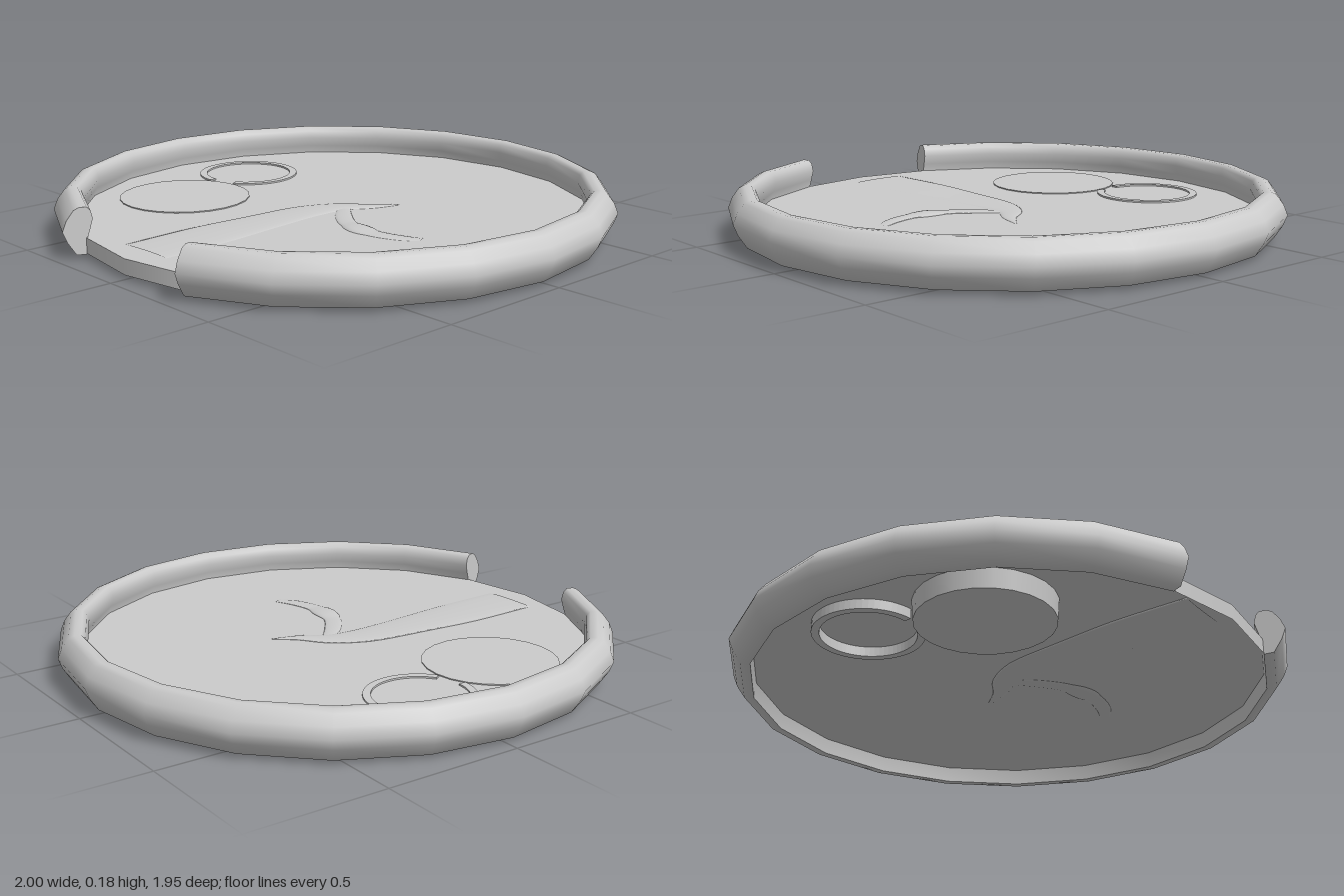
import * as THREE from 'three';

const FLOOR = 0.07;
const material = new THREE.MeshStandardMaterial({ color: 0xcccccc, side: THREE.DoubleSide });

function addMesh(parent, name, geometry) {
  const mesh = new THREE.Mesh(geometry, material);
  mesh.name = name;
  parent.add(mesh);
  return mesh;
}

// Flattened, tapering relief strip along stations of [x, z, halfWidth, height]
function reliefGeometry(stations, steps = 32, sides = 16) {
  const path = new THREE.CatmullRomCurve3(stations.map(([x, z]) => new THREE.Vector3(x, 0, z)));
  const size = new THREE.CatmullRomCurve3(stations.map(([, , w, h]) => new THREE.Vector3(w, h, 0)));
  const positions = [], index = [];
  for (let i = 0; i <= steps; i++) {
    const p = path.getPoint(i / steps), t = path.getTangent(i / steps), s = size.getPoint(i / steps);
    for (let j = 0; j <= sides; j++) {
      const a = (j / sides) * Math.PI * 2;
      const w = Math.cos(a) * s.x;
      positions.push(p.x - t.z * w, FLOOR + Math.sin(a) * s.y, p.z + t.x * w);
      if (i < steps && j < sides) {
        const k = i * (sides + 1) + j, n = k + sides + 1;
        index.push(k, k + 1, n, k + 1, n + 1, n);
      }
    }
  }
  const geometry = new THREE.BufferGeometry();
  geometry.setAttribute('position', new THREE.Float32BufferAttribute(positions, 3));
  geometry.setIndex(index);
  geometry.computeVertexNormals();
  return geometry;
}

export function createModel() {
  const model = new THREE.Group();
  model.name = 'rimmedTray';
  const tray = new THREE.Group();
  tray.name = 'tray';
  tray.position.z = 0.0245;
  model.add(tray);

  // Rounded rim, twenty-sided with two sides left out at the front
  const profile = [
    [0.92, 0.012], [0.955, 0.014], [0.985, 0.06], [1, 0.098], [0.985, 0.135], [0.96, 0.168],
    [0.94, 0.177], [0.915, 0.176], [0.902, 0.163], [0.895, 0.135], [0.905, 0.1], [0.915, FLOOR], [0.92, 0.012],
  ].map(([x, y]) => new THREE.Vector2(x, y));
  const gap = Math.PI / 10;
  addMesh(tray, 'rim', new THREE.LatheGeometry(profile, 18, gap, Math.PI * 2 - 2 * gap));
  for (const side of [1, -1]) {
    const cap = addMesh(tray, side > 0 ? 'leftRimEnd' : 'rightRimEnd',
      new THREE.ShapeGeometry(new THREE.Shape(profile)));
    cap.rotation.y = side * gap - Math.PI / 2;
  }

  // Thin floor with a skirt, hollow underneath
  const floor = addMesh(tray, 'floor', new THREE.CircleGeometry(0.92, 20, Math.PI / 2));
  floor.rotation.x = -Math.PI / 2;
  floor.position.y = FLOOR;
  const skirt = addMesh(tray, 'skirt', new THREE.CylinderGeometry(0.92, 0.92, FLOOR - 0.015, 20, 1, true));
  skirt.position.y = (FLOOR + 0.015) / 2;

  // Large round plug passing through the floor
  const plug = addMesh(model, 'plug', new THREE.CylinderGeometry(0.24, 0.235, 0.074, 24));
  plug.position.set(-0.5, 0.037, 0.325);

  // Small split ring beside the plug
  const start = Math.PI / 2, end = Math.PI * 2.32;
  const ringShape = new THREE.Shape();
  ringShape.absarc(0, 0, 0.19, start, end, false);
  ringShape.absarc(0, 0, 0.163, end, start, true);
  const ring = addMesh(model, 'splitRing', new THREE.ExtrudeGeometry(ringShape,
    { depth: 0.041, bevelEnabled: false, curveSegments: 28 }).rotateX(Math.PI / 2));
  ring.position.set(-0.62, 0.076, -0.08);

  // Low relief: a broad stem with two curling branches
  addMesh(model, 'reliefStem', reliefGeometry([
    [-0.02, 0.85, 0.11, 0.004], [-0.03, 0.6, 0.11, 0.006], [-0.035, 0.35, 0.09, 0.006],
    [-0.03, 0.12, 0.07, 0.006], [0.01, 0, 0.045, 0.006], [0.08, -0.08, 0.025, 0.005], [0.13, -0.17, 0.004, 0.002],
  ]));
  addMesh(model, 'reliefBranch', reliefGeometry([
    [0.02, 0, 0.02, 0.003], [0.1, 0.08, 0.03, 0.005], [0.2, 0.145, 0.032, 0.006],
    [0.33, 0.165, 0.032, 0.006], [0.43, 0.14, 0.028, 0.005], [0.5, 0.1, 0.018, 0.002],
  ]));
  return model;
}
